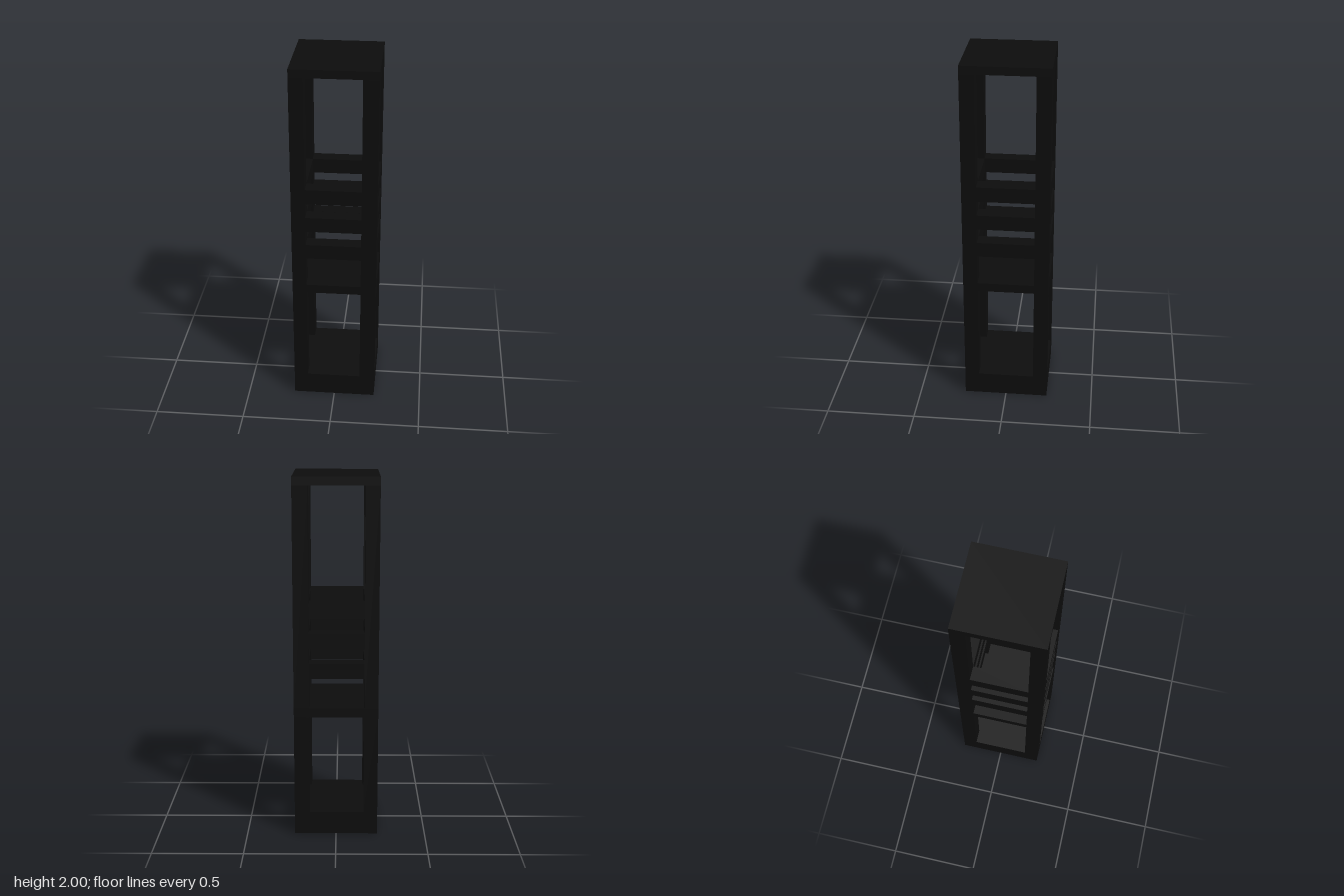
import * as THREE from 'three';

const X = 0.232, Z = 0.238;            // outer half width and half depth
const INNER_L = 0.148, INNER_R = -0.155, INNER_Z = 0.158; // inner faces of the posts

export function createModel() {
  const model = new THREE.Group();
  model.name = 'openFrameTower';
  const material = new THREE.MeshStandardMaterial({ color: 0x0d0d0d });

  // Box given by its lower and upper limits on each axis
  const slab = (name, x0, x1, y0, y1, z0, z1) => {
    const mesh = new THREE.Mesh(new THREE.BoxGeometry(x1 - x0, y1 - y0, z1 - z0), material);
    mesh.position.set((x0 + x1) / 2, (y0 + y1) / 2, (z0 + z1) / 2);
    mesh.name = name;
    model.add(mesh);
  };

  // Solid plates across the whole footprint
  slab('base', -X, X, 0, 0.13, -Z, Z);
  slab('shelf', -X, X, 0.692, 0.742, -Z, Z);
  slab('top', -X, X, 1.955, 2, -Z, Z);

  // Corner posts, running between the plates
  for (const [y0, y1] of [[0.13, 0.692], [0.742, 1.955]]) {
    for (const [end, z0, z1] of [['front', INNER_Z, Z], ['back', -Z, -INNER_Z]]) {
      slab(end + 'LeftPost', INNER_L, X, y0, y1, z0, z1);
      slab(end + 'RightPost', -X, INNER_R, y0, y1, z0, z1);
    }
  }

  // Three rings of rails flush with the posts
  for (const y of [0.912, 1.079, 1.246]) {
    const y1 = y + 0.084;
    slab('frontRail', INNER_R, INNER_L, y, y1, INNER_Z, Z);
    slab('backRail', INNER_R, INNER_L, y, y1, -Z, -INNER_Z);
    slab('leftRail', INNER_L, X, y, y1, -INNER_Z, INNER_Z);
    slab('rightRail', -X, INNER_R, y, y1, -INNER_Z, INNER_Z);
  }
  return model;
}
